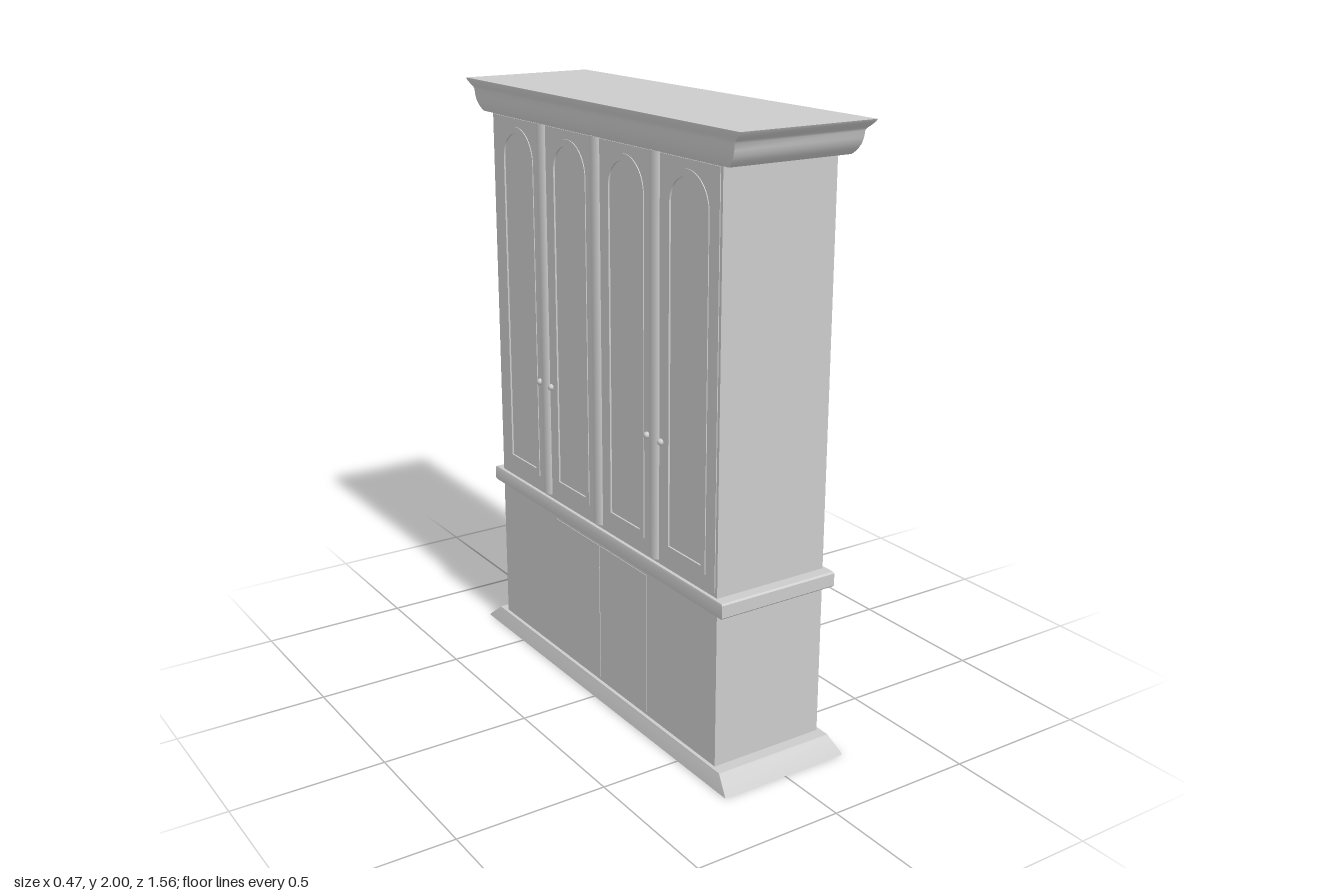
import * as THREE from 'three';
import { toCreasedNormals } from 'three/addons/utils/BufferGeometryUtils.js';

const HALF_X = 0.2, HALF_Z = 0.66;
const material = new THREE.MeshStandardMaterial({ color: 0xcccccc });

function add(parent, name, geometry, x = 0, y = 0, z = 0) {
  const mesh = new THREE.Mesh(geometry, material);
  mesh.name = name;
  mesh.position.set(x, y, z);
  parent.add(mesh);
  return mesh;
}

// Rectangular moulding: profile of [overhang, height], shallower across x than along z
function moulding(profile) {
  const pos = [];
  const rings = profile.map(([d, y]) => {
    const x = HALF_X + 0.3 * d, z = HALF_Z + d;
    return [[x, y, z], [x, y, -z], [-x, y, -z], [-x, y, z]];
  });
  const quad = (a, b, c, d) => pos.push(...a, ...b, ...c, ...a, ...c, ...d);
  for (let i = 0; i < rings.length - 1; i++) {
    for (let k = 0; k < 4; k++) {
      const n = (k + 1) % 4;
      quad(rings[i][k], rings[i][n], rings[i + 1][n], rings[i + 1][k]);
    }
  }
  const [b, t] = [rings[0], rings[rings.length - 1]];
  quad(b[3], b[2], b[1], b[0]);
  quad(t[0], t[1], t[2], t[3]);
  const geometry = new THREE.BufferGeometry();
  geometry.setAttribute('position', new THREE.Float32BufferAttribute(pos, 3));
  geometry.computeVertexNormals();
  return toCreasedNormals(geometry, 0.5);
}

// Round-headed outline
function arch(half, bottom, top, Type = THREE.Shape) {
  const s = new Type();
  s.moveTo(-half, bottom);
  s.lineTo(half, bottom);
  s.lineTo(half, top - half);
  s.absarc(0, top - half, half, 0, Math.PI, false);
  s.lineTo(-half, bottom);
  return s;
}

// Extrude a z-y outline outwards from the door side (-x)
function outward(shape, depth) {
  const g = new THREE.ExtrudeGeometry(shape, { depth, bevelEnabled: false, curveSegments: 16 });
  return toCreasedNormals(g.rotateY(-Math.PI / 2), 0.5);
}

export function createModel() {
  const model = new THREE.Group();
  model.name = 'cabinet';

  add(model, 'body', new THREE.BoxGeometry(HALF_X * 2, 1.9, HALF_Z * 2), 0, 0.97, 0);
  add(model, 'plinth', moulding([[0.095, 0], [0.09, 0.008], [0.045, 0.046], [0.04, 0.052]]));
  add(model, 'waistBand', moulding([
    [0.037, 0.565], [0.042, 0.57], [0.042, 0.61], [0.037, 0.615]
  ]));
  add(model, 'crown', moulding([
    [0.043, 1.895], [0.05, 1.9], [0.063, 1.912], [0.074, 1.928], [0.08, 1.945],
    [0.083, 1.965], [0.088, 1.972], [0.1, 1.98], [0.116, 1.993], [0.12, 2]
  ]));

  // Four upper doors with arched, moulded panels
  for (const z of [-0.495, -0.165, 0.165, 0.495]) {
    const door = new THREE.Group();
    door.name = 'upperDoor';
    door.position.set(-HALF_X, 0, z);
    model.add(door);

    const frame = new THREE.Shape([
      [-0.155, 0.63], [0.155, 0.63], [0.155, 1.89], [-0.155, 1.89]
    ].map(([u, v]) => new THREE.Vector2(u, v)));
    frame.holes.push(arch(0.1, 0.68, 1.855, THREE.Path));
    add(door, 'doorFrame', outward(frame, 0.003));

    const trim = arch(0.108, 0.672, 1.863);
    trim.holes.push(arch(0.086, 0.694, 1.841, THREE.Path));
    add(door, 'archTrim', outward(trim, 0.006));
  }

  // Rounded strips between the doors
  for (const z of [-0.33, 0, 0.33]) {
    const strip = new THREE.CylinderGeometry(0.027, 0.027, 1.265, 20);
    strip.scale(0.6, 1, 1);
    add(model, 'doorStrip', strip, -HALF_X, 1.2625, z);
  }

  // Knobs either side of the outer strips
  for (const strip of [-0.33, 0.33]) {
    for (const side of [-1, 1]) {
      add(model, 'knob', new THREE.SphereGeometry(0.011, 16, 12), -HALF_X - 0.006, 1.02, strip + side * 0.038);
    }
  }

  // Almost flush lower doors
  for (const side of [-1, 1]) {
    add(model, 'lowerDoor', new THREE.BoxGeometry(0.004, 0.485, 0.28), -HALF_X, 0.305, side * 0.1425);
  }
  return model;
}
